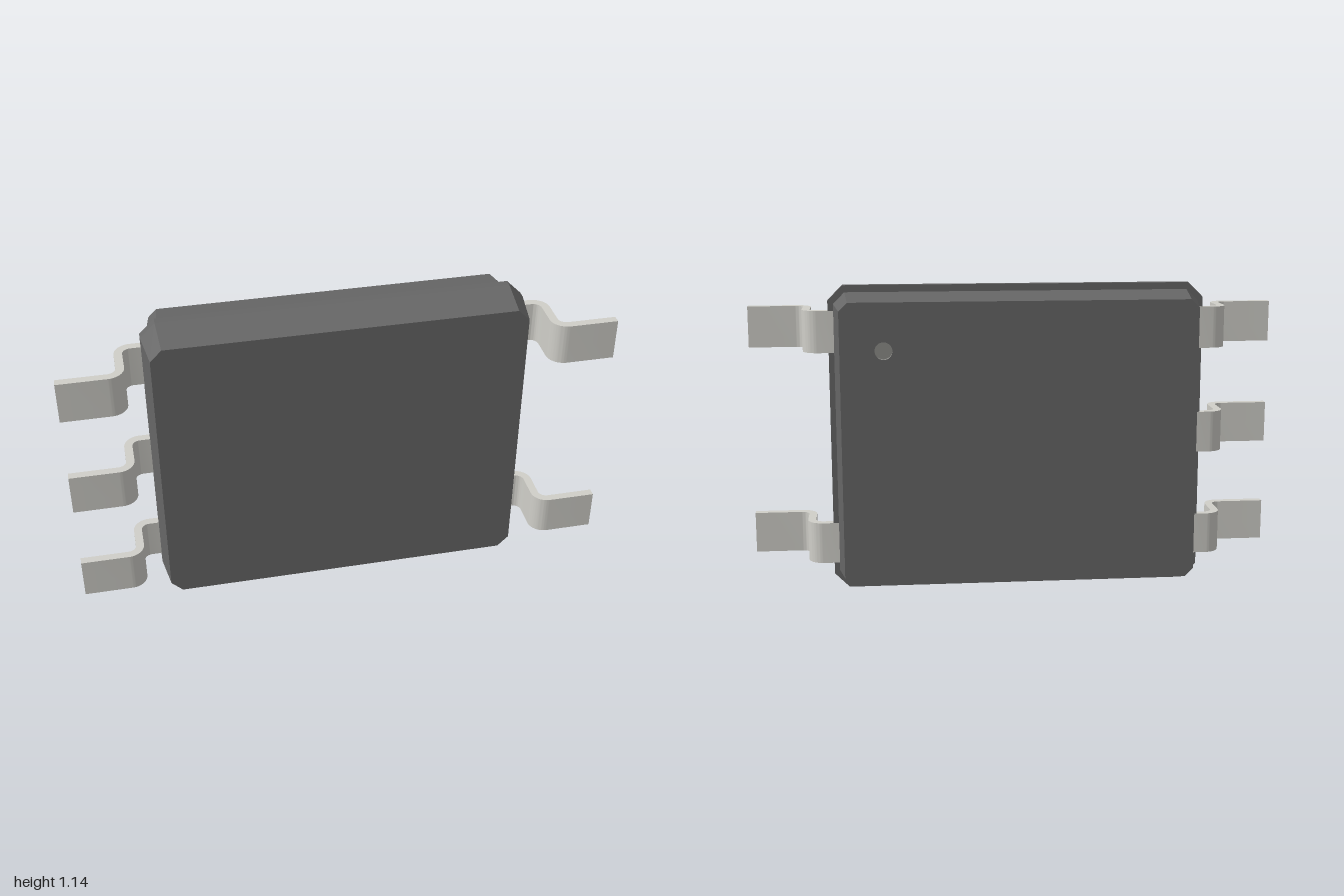
import * as THREE from 'three';
import { mergeGeometries, toCreasedNormals } from 'three/addons/utils/BufferGeometryUtils.js';

const MID_Y = 0.5725;
const PIN_MARK = { x: 0.495, y: 0.922 - MID_Y, r: 0.032, depth: 0.02 };

// Rectangle with chamfered corners, counter-clockwise
function octagon(hx, hy, c) {
  return [
    [hx, -hy + c], [hx, hy - c], [hx - c, hy], [-hx + c, hy],
    [-hx, hy - c], [-hx, -hy + c], [-hx + c, -hy], [hx - c, -hy],
  ].map(([x, y]) => new THREE.Vector2(x, y));
}

// Flat end face; a face turned to the back may carry a round hole
function cap({ z, hx, hy, c }, toBack, hole) {
  const shape = new THREE.Shape(octagon(hx, hy, c));
  if (hole) shape.holes.push(new THREE.Path().absarc(-hole.x, hole.y, hole.r, 0, Math.PI * 2, true));
  const geo = new THREE.ShapeGeometry(shape, 16);
  if (toBack) geo.rotateY(Math.PI);
  geo.translate(0, 0, z);
  geo.deleteAttribute('uv');
  return geo.toNonIndexed();
}

// Solid through octagonal sections listed from back to front
function loft(sections, hole) {
  const pos = [];
  for (let s = 0; s < sections.length - 1; s++) {
    const [a, b] = [sections[s], sections[s + 1]];
    const ra = octagon(a.hx, a.hy, a.c);
    const rb = octagon(b.hx, b.hy, b.c);
    for (let i = 0; i < 8; i++) {
      const j = (i + 1) % 8;
      const p = [ra[i].x, ra[i].y, a.z], q = [ra[j].x, ra[j].y, a.z];
      const r = [rb[j].x, rb[j].y, b.z], t = [rb[i].x, rb[i].y, b.z];
      pos.push(...p, ...q, ...r, ...p, ...r, ...t);
    }
  }
  const sides = new THREE.BufferGeometry();
  sides.setAttribute('position', new THREE.Float32BufferAttribute(pos, 3));
  sides.computeVertexNormals();
  return mergeGeometries([sides, cap(sections[0], true, hole), cap(sections.at(-1), false)]);
}

// Gull-wing strip for the +x side: profile in (x, z), extruded to the lead width
function leadGeometry(width) {
  const t = 0.03, ri = 0.03, ro = ri + t;
  const zTop = -0.032, zFoot = 0.174;   // back face of shoulder, front face of foot
  const xIn = 0.762, xOut = xIn + t;    // riser
  const s = new THREE.Shape();
  s.moveTo(0.62, zTop);
  s.lineTo(xOut - ro, zTop);
  s.absarc(xOut - ro, zTop + ro, ro, -Math.PI / 2, 0, false);
  s.lineTo(xOut, zFoot - ro);
  s.absarc(xOut + ri, zFoot - ro, ri, Math.PI, Math.PI / 2, true);
  s.lineTo(1, zFoot - t);
  s.lineTo(1, zFoot);
  s.lineTo(xIn + ro, zFoot);
  s.absarc(xIn + ro, zFoot - ro, ro, Math.PI / 2, Math.PI, false);
  s.lineTo(xIn, zTop + ro);
  s.absarc(xIn - ri, zTop + ro, ri, 0, -Math.PI / 2, true);
  s.lineTo(0.62, zTop + t);
  s.closePath();
  const geo = new THREE.ExtrudeGeometry(s, { depth: width, bevelEnabled: false, curveSegments: 10 });
  geo.translate(0, 0, -width / 2);
  geo.rotateX(Math.PI / 2);             // profile z to world z, depth to world y
  return toCreasedNormals(geo, 0.6);
}

export function createModel() {
  const model = new THREE.Group();
  model.name = 'chipPackage';
  const plastic = new THREE.MeshStandardMaterial({ color: 0x666666 });
  const pitPlastic = new THREE.MeshStandardMaterial({ color: 0x8c8c88, side: THREE.DoubleSide });
  const metal = new THREE.MeshStandardMaterial({ color: 0xd0cfc9 });

  const add = (name, geo, mat, x, y, z) => {
    const mesh = new THREE.Mesh(geo, mat);
    mesh.name = name;
    mesh.position.set(x, y, z);
    model.add(mesh);
    return mesh;
  };

  // Two moulded halves, the back one slightly smaller
  add('frontHousing', loft([
    { z: -0.03, hx: 0.695, hy: 0.5725, c: 0.055 },
    { z: 0, hx: 0.695, hy: 0.5725, c: 0.055 },
    { z: 0.143, hx: 0.675, hy: 0.5495, c: 0.042 },
  ]), plastic, 0, MID_Y, 0);
  add('backHousing', loft([
    { z: -0.174, hx: 0.652, hy: 0.524, c: 0.031 },
    { z: -0.03, hx: 0.675, hy: 0.547, c: 0.042 },
  ], PIN_MARK), plastic, 0, MID_Y, 0);

  // Round pit marking the first pin
  const { r, depth } = PIN_MARK;
  const pit = new THREE.LatheGeometry(
    [[0, depth], [r, depth], [r, 0]].map(([x, y]) => new THREE.Vector2(x, y)), 32);
  pit.rotateX(Math.PI / 2);
  add('pinMark', toCreasedNormals(pit, 0.6), pitPlastic, PIN_MARK.x, MID_Y + PIN_MARK.y, -0.174);

  // Two leads on the left, three on the right
  const lead = leadGeometry(0.155);
  for (const y of [0.175, 0.975]) add('leftLead', lead, metal, 0, y, 0);
  const mirrored = lead.clone().rotateZ(Math.PI);
  for (const y of [0.175, 0.575, 0.975]) add('rightLead', mirrored, metal, 0, y, 0);
  return model;
}
